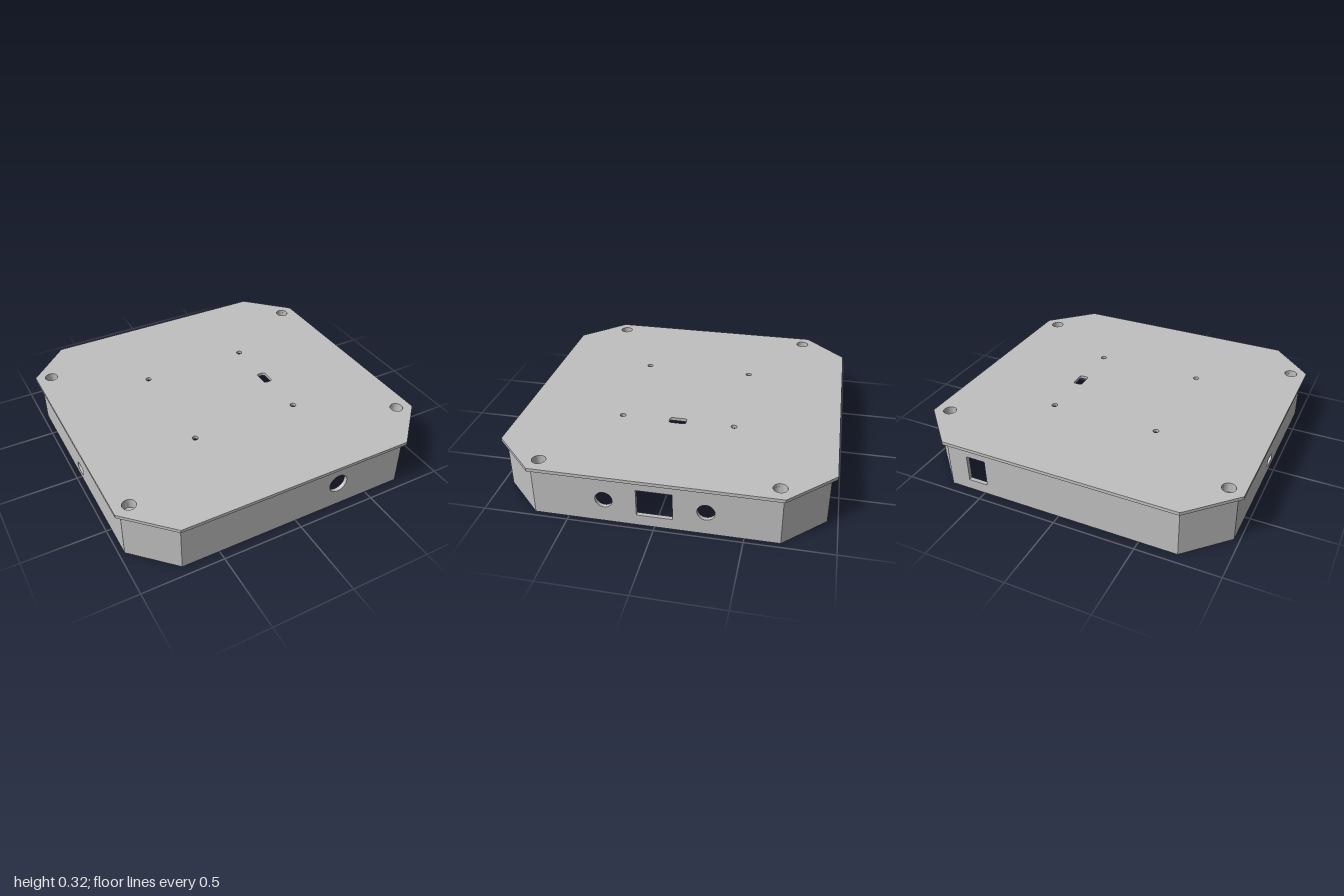
import * as THREE from 'three';
import { toCreasedNormals } from 'three/addons/utils/BufferGeometryUtils.js';

const PLATE_Y = 0.3, PLATE_T = 0.02, WALL_T = 0.025;
const POST_X = 0.904, POST_Z = 0.673;

const circle = (x, y, r) => new THREE.Path().absarc(x, y, r, 0, Math.PI * 2, true);

// Rectangular opening centred on (x, y), with corner radius r
function slot(x, y, w, h, r = 0) {
  const a = w / 2, b = h / 2, p = new THREE.Path();
  if (r === 0) {
    return p.setFromPoints([[-a, -b], [-a, b], [a, b], [a, -b], [-a, -b]]
      .map(([u, v]) => new THREE.Vector2(x + u, y + v)));
  }
  p.absarc(x + a - r, y + b - r, r, 0, Math.PI / 2);
  p.absarc(x - a + r, y + b - r, r, Math.PI / 2, Math.PI);
  p.absarc(x - a + r, y - b + r, r, Math.PI, Math.PI * 1.5);
  p.absarc(x + a - r, y - b + r, r, Math.PI * 1.5, Math.PI * 2);
  p.closePath();
  return p;
}

function slab(points, holes, depth) {
  const shape = new THREE.Shape(points.map(([x, y]) => new THREE.Vector2(x, y)));
  shape.holes.push(...holes);
  const geo = new THREE.ExtrudeGeometry(shape, { depth, bevelEnabled: false, curveSegments: 24 });
  return toCreasedNormals(geo, 0.6);
}

export function createModel() {
  const group = new THREE.Group();
  const grey = new THREE.MeshStandardMaterial({ color: 0xc0c0c0 });
  grey.name = 'grey';
  const add = (name, geo) => {
    const mesh = new THREE.Mesh(geo, grey);
    mesh.name = name;
    group.add(mesh);
    return mesh;
  };

  // Octagonal top plate with screw holes, mounting holes and a cable slot
  const plateHoles = [slot(0.343, 0, 0.058, 0.105, 0.016)];
  for (const sx of [-1, 1]) for (const sz of [-1, 1]) {
    plateHoles.push(circle(sx * POST_X, sz * POST_Z, 0.04), circle(sx * 0.345, sz * 0.345, 0.018));
  }
  const outline = [[1, -0.71], [1, 0.71], [0.74, 0.97], [-0.74, 0.97],
    [-1, 0.71], [-1, -0.71], [-0.74, -0.97], [0.74, -0.97]];
  const plate = slab(outline, plateHoles, PLATE_T);
  plate.rotateX(-Math.PI / 2);
  plate.translate(0, PLATE_Y, 0);
  add('topPlate', plate);

  // Walls: outer face centre, heading, length and openings (seen from outside)
  const wall = (name, x, z, angle, length, holes = []) => {
    const h = length / 2;
    const geo = slab([[-h, 0], [h, 0], [h, PLATE_Y], [-h, PLATE_Y]], holes, WALL_T);
    geo.translate(0, 0, -WALL_T);
    const mesh = add(name, geo);
    mesh.position.set(x, 0, z);
    mesh.rotation.y = angle;
  };
  wall('frontWall', 0, 0.94, 0, 1.46, [circle(0.285, 0.165, 0.06)]);
  wall('backWall', 0, -0.94, Math.PI, 1.46, [slot(-0.54, 0.15, 0.125, 0.168)]);
  wall('portWall', 0.968, 0, Math.PI / 2, 1.4,
    [circle(-0.288, 0.145, 0.05), circle(0.288, 0.145, 0.05), slot(0, 0.152, 0.205, 0.168)]);
  wall('slotWall', -0.968, 0, -Math.PI / 2, 1.4, [slot(0, 0.067, 0.1, 0.056, 0.024)]);
  for (const sx of [-1, 1]) for (const sz of [-1, 1]) {
    wall('cornerWall', sx * 0.849, sz * 0.82, Math.atan2(sx * 0.24, sz * 0.238), 0.338);
  }

  // Counterbored screw posts inside the corners
  const profile = [[0.018, 0.26], [0.018, 0], [0.056, 0], [0.056, PLATE_Y], [0.04, PLATE_Y], [0.04, 0.26], [0.018, 0.26]]
    .map(([r, y]) => new THREE.Vector2(r, y));
  const post = toCreasedNormals(new THREE.LatheGeometry(profile, 32), 0.6);
  for (const sx of [-1, 1]) for (const sz of [-1, 1]) {
    add('screwPost', post).position.set(sx * POST_X, 0, sz * POST_Z);
  }
  return group;
}
